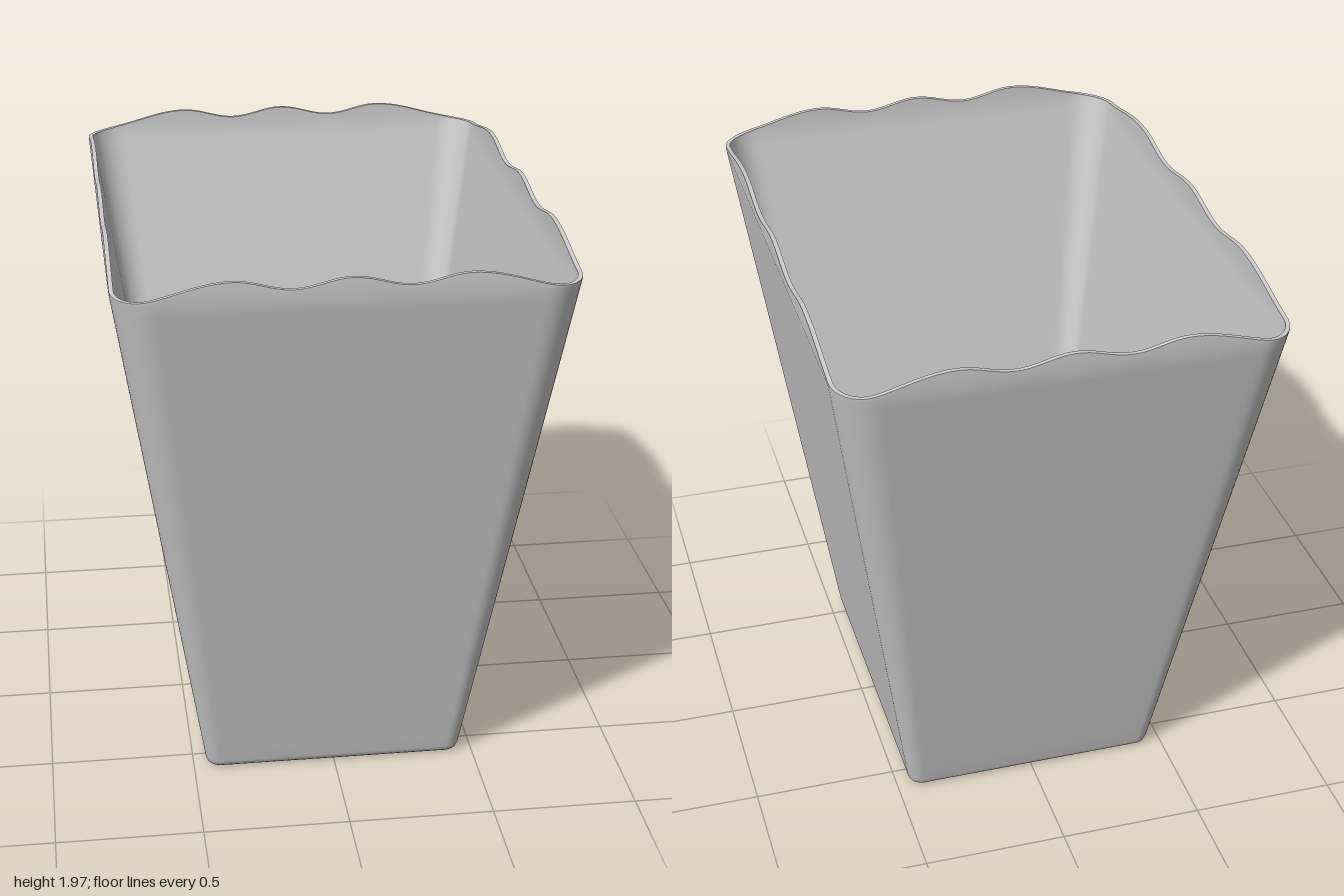
import * as THREE from 'three';

const WALL = 0.015, LIP = 1.9, SIDE = 56, CORNER = 12;
const TOP = { x: 0.746, z: 1.0, r: 0.13 };
const BASE = { x: 0.452, z: 0.602, r: 0.05 };

// Rounded rectangle as a closed loop of [x, z] points
function outline(hx, hz, r) {
  const pts = [];
  const corners = [[1, 1], [-1, 1], [-1, -1], [1, -1]];
  corners.forEach(([sx, sz], q) => {
    const cx = sx * (hx - r), cz = sz * (hz - r);
    for (let i = 0; i <= CORNER; i++) {
      const a = (q + i / CORNER) * Math.PI / 2;
      pts.push([cx + r * Math.cos(a), cz + r * Math.sin(a)]);
    }
    const [nx, nz] = corners[(q + 1) % 4];
    const [ax, az] = pts[pts.length - 1];
    const a = (q + 1) * Math.PI / 2;
    const bx = nx * (hx - r) + r * Math.cos(a), bz = nz * (hz - r) + r * Math.sin(a);
    for (let i = 1; i < SIDE; i++) {
      const t = i / SIDE;
      pts.push([ax + (bx - ax) * t, az + (bz - az) * t]);
    }
  });
  return pts;
}

// Wavy rim: three crests per side, dipping towards the corners
function rimHeight(s) {
  if (s < 0.5) return 1.951 + 0.016 * Math.cos(4 * Math.PI * s);
  return 1.936 + 0.031 * Math.cos(Math.PI * Math.min((s - 0.5) / 0.46, 1));
}
const rim = outline(TOP.x, TOP.z, TOP.r)
  .map(([x, z]) => rimHeight(Math.min(Math.abs(x) / TOP.x, Math.abs(z) / TOP.z)));

// Skin through rows [height, inset]; height 'rim' follows the wave, inset 'centre' closes the row
function skin(rows) {
  const n = rim.length, pos = [], index = [];
  rows.forEach(([y, inset]) => {
    const t = y === 'rim' ? 1 : Math.min(y / LIP, 1);
    const mix = (k) => BASE[k] + (TOP[k] - BASE[k]) * t;
    const loop = inset === 'centre'
      ? outline(0, 0, 0)
      : outline(mix('x') - inset, mix('z') - inset, Math.max(mix('r') - inset, 0.01));
    loop.forEach(([x, z], j) => pos.push(x, y === 'rim' ? rim[j] : y, z));
  });
  for (let i = 0; i < rows.length - 1; i++) {
    for (let j = 0; j < n; j++) {
      const a = i * n + j, b = i * n + (j + 1) % n;
      index.push(a, a + n, b, b, a + n, b + n);
    }
  }
  const geo = new THREE.BufferGeometry();
  geo.setAttribute('position', new THREE.Float32BufferAttribute(pos, 3));
  geo.setIndex(index);
  geo.computeVertexNormals();
  return geo;
}

export function createModel() {
  const group = new THREE.Group();
  group.name = 'wavyRimBin';
  const material = new THREE.MeshStandardMaterial({ color: 0xcccccc });
  const add = (name, rows) => {
    const mesh = new THREE.Mesh(skin(rows), material);
    mesh.name = name;
    group.add(mesh);
  };
  const levels = [0.1, 0.5, 0.9, 1.3, 1.7, 1.86, LIP];

  // Underside, rounded bottom edge and outer walls
  add('outerShell', [
    [0, 'centre'], [0, 0.03], [0, 0.02], [0.004, 0.01], [0.012, 0.003], [0.028, 0],
    ...levels.map((y) => [y, 0]), ['rim', 0],
  ]);

  // Thin top edge
  add('rim', [['rim', 0], ['rim', WALL]]);

  // Inner walls, fillet and floor
  add('innerShell', [
    ['rim', WALL], ...levels.slice().reverse().map((y) => [y, WALL]),
    [0.035, WALL], [0.022, WALL + 0.004], [0.016, WALL + 0.011], [0.015, WALL + 0.02],
    [0.015, 'centre'],
  ]);
  return group;
}
